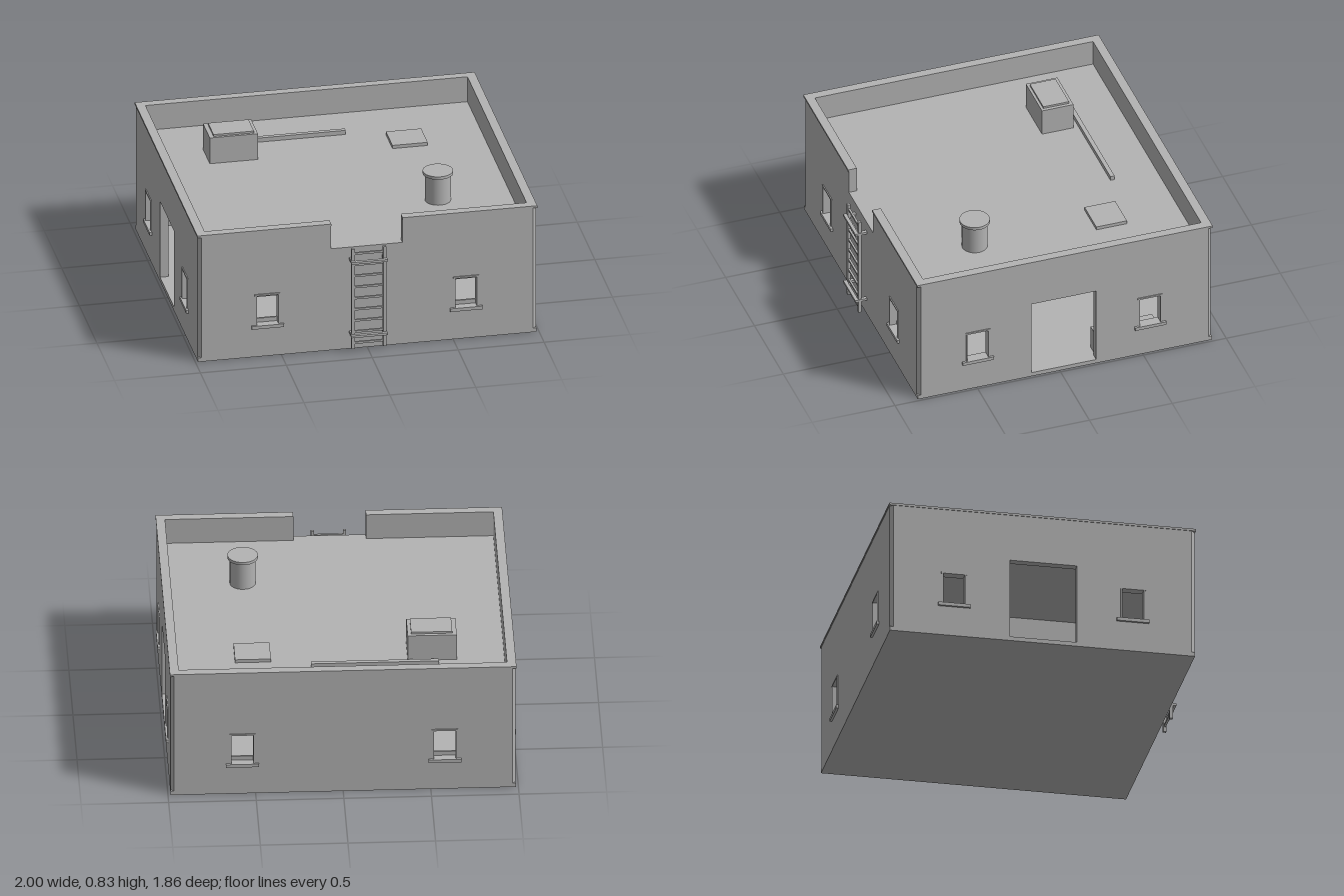
import * as THREE from 'three';

const plaster = new THREE.MeshStandardMaterial({ color: 0xb3b3b3 });
plaster.name = 'grey plaster';

// Outer faces of the house and wall thickness
const X = 0.985, ZF = 0.857, ZB = -0.918, T = 0.048, H = 0.795, ROOF = 0.642;
const ZC = (ZF + ZB) / 2, HZ = (ZF - ZB) / 2;

export function createModel() {
  const root = new THREE.Group();
  root.name = 'flatRoofHouse';

  const add = (name, geo, parent = root) => {
    const m = new THREE.Mesh(geo, plaster);
    m.name = name;
    parent.add(m);
    return m;
  };
  // Box from its minimum and maximum corners
  const box = (name, x0, x1, y0, y1, z0, z1, parent) => {
    const m = add(name, new THREE.BoxGeometry(x1 - x0, y1 - y0, z1 - z0), parent);
    m.position.set((x0 + x1) / 2, (y0 + y1) / 2, (z0 + z1) / 2);
    return m;
  };
  const rectPath = (x0, x1, y0, y1) => new THREE.Path([
    [x0, y0], [x0, y1], [x1, y1], [x1, y0]].map(p => new THREE.Vector2(...p)));

  // Window frame and sill, built on a wall whose outer face is local z = T
  function addWindow(wall, u, framed) {
    const g = new THREE.Group();
    g.name = 'window';
    g.position.x = u;
    wall.add(g);
    box('sill', -0.094, 0.094, 0.18, 0.2, T - 0.02, T + 0.014, g);
    box('lintel', -0.075, 0.075, 0.385, 0.395, T - 0.01, T + 0.006, g);
    for (const s of [-1, 1]) {
      box('jamb', s * 0.0665 - 0.004, s * 0.0665 + 0.004, 0.2, 0.385, T - 0.01, T + 0.006, g);
    }
    if (framed) {
      box('lowerFrame', -0.0625, 0.0625, 0.2, 0.225, 0, 0.012, g);
      box('upperFrame', -0.0625, 0.0625, 0.36, 0.385, 0, 0.012, g);
    }
  }

  // Wall panel with window holes, optional doorway and optional parapet gap
  function addWall(name, half, windows, { door, gap, framed } = {}) {
    const pts = [[-half, 0.02], [half, 0.02], [half, H]];
    if (gap) pts.push([gap[1], H], [gap[1], ROOF], [gap[0], ROOF], [gap[0], H]);
    pts.push([-half, H]);
    const shape = new THREE.Shape(pts.map(p => new THREE.Vector2(...p)));
    for (const u of windows) shape.holes.push(rectPath(u - 0.0625, u + 0.0625, 0.2, 0.385));
    if (door) shape.holes.push(rectPath(door[0], door[1], 0.025, 0.505));
    const g = new THREE.Group();
    g.name = name;
    add('panel', new THREE.ExtrudeGeometry(shape, { depth: T, bevelEnabled: false }), g);
    for (const u of windows) addWindow(g, u, framed);
    root.add(g);
    return g;
  }

  const halfX = X - T, halfZ = HZ - T;
  const front = addWall('frontWall', halfX, [-0.58, 0.575], { gap: [-0.21, 0.205], framed: true });
  front.position.z = ZF - T;
  const back = addWall('backWall', halfX, [-0.575, 0.58], { framed: true });
  back.rotation.y = Math.PI;
  back.position.z = ZB + T;
  for (const s of [1, -1]) {
    const u = z => -s * (z - ZC);
    const ends = [u(0.17), u(-0.22)].sort((a, b) => a - b);
    const w = addWall(s > 0 ? 'leftWall' : 'rightWall', halfZ, [u(0.495), u(-0.545)], { door: ends });
    w.rotation.y = s * Math.PI / 2;
    w.position.set(s * (X - T), 0, ZC);
  }

  // Chamfered corner posts
  const c = 0.02;
  for (const sx of [1, -1]) for (const sz of [1, -1]) {
    const pts = [[X - T, HZ], [X - c, HZ], [X, HZ - c], [X, HZ - T], [X - T, HZ - T]]
      .map(([x, z]) => new THREE.Vector2(sx * x, -sz * z));
    const post = add('cornerPost', new THREE.ExtrudeGeometry(new THREE.Shape(pts), { depth: H - 0.02, bevelEnabled: false }));
    post.rotation.x = -Math.PI / 2;
    post.position.set(0, 0.02, ZC);
  }

  // Floor, roof and inner partition with a doorway
  box('floorSlab', -X, X, 0, 0.025, ZB, ZF);
  box('roofSlab', -X + T, X - T, 0.6, ROOF, ZB + T, ZF - T);
  box('partitionBack', -0.03, 0.03, 0.025, 0.6, ZB + T, -0.045);
  box('partitionFront', -0.03, 0.03, 0.025, 0.6, 0.19, ZF - T);
  box('partitionLintel', -0.03, 0.03, 0.41, 0.6, -0.045, 0.19);
  box('innerBench', 0.86, X - T, 0.025, 0.17, -0.6, -0.23);

  // Thin coping along the parapet
  const o = 0.004, y0 = 0.787, y1 = 0.8;
  box('copingBack', -X - o, X + o, y0, y1, ZB - o, ZB + T);
  box('copingFrontRight', -X - o, -0.21, y0, y1, ZF - T, ZF + o);
  box('copingFrontLeft', 0.205, X + o, y0, y1, ZF - T, ZF + o);
  for (const s of [-1, 1]) {
    const a = s * (X - T), b = s * (X + o);
    box('copingSide', Math.min(a, b), Math.max(a, b), y0, y1, ZB + T, ZF - T);
  }

  // Roof fittings
  box('chimney', -0.665, -0.385, ROOF, 0.805, -0.56, -0.37);
  box('chimneyCap', -0.64, -0.405, 0.805, 0.817, -0.54, -0.385);
  box('roofHatch', 0.395, 0.6, ROOF, 0.662, -0.54, -0.355);
  box('roofBeam', -0.56, 0.17, ROOF, 0.668, -0.615, -0.59);
  const pipe = add('ventPipe', new THREE.CylinderGeometry(0.074, 0.074, 0.17, 32));
  pipe.position.set(0.515, ROOF + 0.085, 0.35);
  const cap = add('ventCap', new THREE.CylinderGeometry(0.087, 0.087, 0.018, 32));
  cap.position.set(0.515, 0.819, 0.35);

  // Ladder
  const ladder = new THREE.Group();
  ladder.name = 'ladder';
  root.add(ladder);
  for (const s of [-1, 1]) {
    box('stile', s * 0.092 - 0.009, s * 0.092 + 0.009, 0.02, 0.65, 0.89, 0.908, ladder);
  }
  for (let i = 0; i < 9; i++) {
    const y = 0.055 + i * 0.0705;
    box('rung', -0.09, 0.09, y - 0.006, y + 0.006, 0.893, 0.905, ladder);
  }
  for (const y of [0.105, 0.57]) {
    box('bracket', -0.106, 0.106, y - 0.007, y + 0.007, 0.908, 0.928, ladder);
    for (const s of [-1, 1]) {
      box('bracketArm', s * 0.095 - 0.01, s * 0.095 + 0.01, y - 0.007, y + 0.007, ZF - 0.01, 0.91, ladder);
    }
  }
  return root;
}
